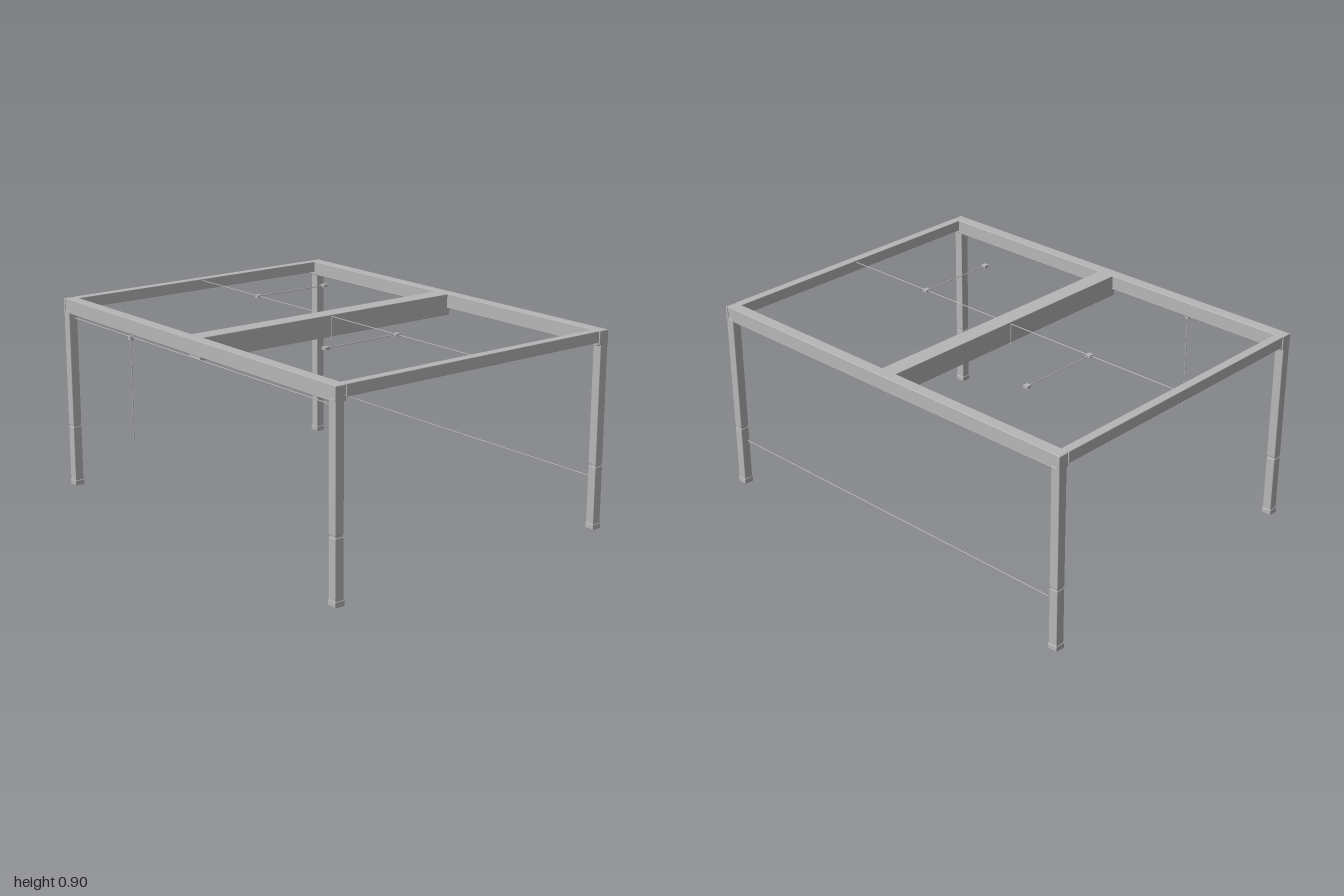
import * as THREE from 'three';
import { RoundedBoxGeometry } from 'three/addons/geometries/RoundedBoxGeometry.js';

export function createModel() {
  const root = new THREE.Group();
  root.name = 'pergolaFrame';
  const metal = new THREE.MeshStandardMaterial({ color: 0xb6b6b6 });
  metal.name = 'lightGreyMetal';

  const add = (name, geometry, x, y, z, parent = root) => {
    const mesh = new THREE.Mesh(geometry, metal);
    mesh.name = name;
    mesh.position.set(x, y, z);
    parent.add(mesh);
    return mesh;
  };
  // Box given by its extents, with slightly softened edges
  const bar = (name, [x0, x1], [y0, y1], [z0, z1], parent = root) =>
    add(name, new RoundedBoxGeometry(x1 - x0, y1 - y0, z1 - z0, 1, 0.003),
      (x0 + x1) / 2, (y0 + y1) / 2, (z0 + z1) / 2, parent);
  // Thin cord running through points, one straight piece per pair
  const cord = (name, points) => {
    const group = new THREE.Group();
    group.name = name;
    for (let i = 1; i < points.length; i++) {
      const a = new THREE.Vector3(...points[i - 1]);
      const b = new THREE.Vector3(...points[i]);
      const dir = b.clone().sub(a);
      const piece = add(name + 'Piece', new THREE.CylinderGeometry(0.0022, 0.0022, dir.length(), 8),
        (a.x + b.x) / 2, (a.y + b.y) / 2, (a.z + b.z) / 2, group);
      piece.quaternion.setFromUnitVectors(new THREE.Vector3(0, 1, 0), dir.normalize());
    }
    root.add(group);
  };

  // Legs: foot, lower tube, narrow joint and upper tube
  for (const sx of [-1, 1]) {
    for (const sz of [-1, 1]) {
      const leg = new THREE.Group();
      leg.name = 'leg';
      leg.position.set(sx * 0.976, 0, sz * 0.727);
      root.add(leg);
      const square = (name, half, y0, y1) =>
        bar(name, [-half, half], [y0, y1], [-half, half], leg);
      square('foot', 0.024, 0, 0.026);
      square('lowerLeg', 0.0215, 0.022, 0.288);
      square('legJoint', 0.019, 0.28, 0.304);
      square('upperLeg', 0.0215, 0.296, 0.845);
    }
  }

  // Front and back rails with end caps, and the side rails between them
  for (const s of [-1, 1]) {
    const span = (a, b) => (s > 0 ? [a, b] : [-b, -a]);
    bar('longRail', [-0.992, 0.992], [0.832, 0.9], span(0.692, 0.746));
    for (const e of [-1, 1]) {
      bar('railEndCap', e > 0 ? [0.986, 0.998] : [-0.998, -0.986], [0.836, 0.899], span(0.698, 0.75));
    }
    bar('sideRail', span(0.956, 0.997), [0.848, 0.9], [-0.694, 0.694]);
  }

  // Centre beam
  bar('centreBeam', [-0.041, 0.041], [0.8, 0.8996], [-0.708, 0.708]);

  // Cross cord dipping under the centre beam
  cord('crossCord', [
    [-0.96, 0.892, 0], [-0.045, 0.892, 0], [-0.045, 0.796, 0],
    [0.045, 0.796, 0], [0.045, 0.892, 0], [0.96, 0.892, 0],
  ]);

  // Two side cords with a small block at each end
  for (const [x, z] of [[-0.5, -0.39], [0.483, 0.385]]) {
    cord('sideCord', [[x, 0.892, 0], [x, 0.892, z]]);
    for (const end of [0, z]) add('cordBlock', new THREE.BoxGeometry(0.024, 0.012, 0.024), x, 0.892, end);
  }

  // Front cord under the rail, its hanging cord, and the low back cord
  cord('frontCord', [[-0.937, 0.814, 0.73], [0.935, 0.814, 0.73]]);
  cord('hangingCord', [[-0.452, 0.81, 0.735], [-0.452, 0.34, 0.735]]);
  add('hangingCordBlock', new THREE.BoxGeometry(0.018, 0.018, 0.018), -0.452, 0.811, 0.735);
  cord('backCord', [[-0.937, 0.232, -0.73], [0.935, 0.232, -0.73]]);

  return root;
}
